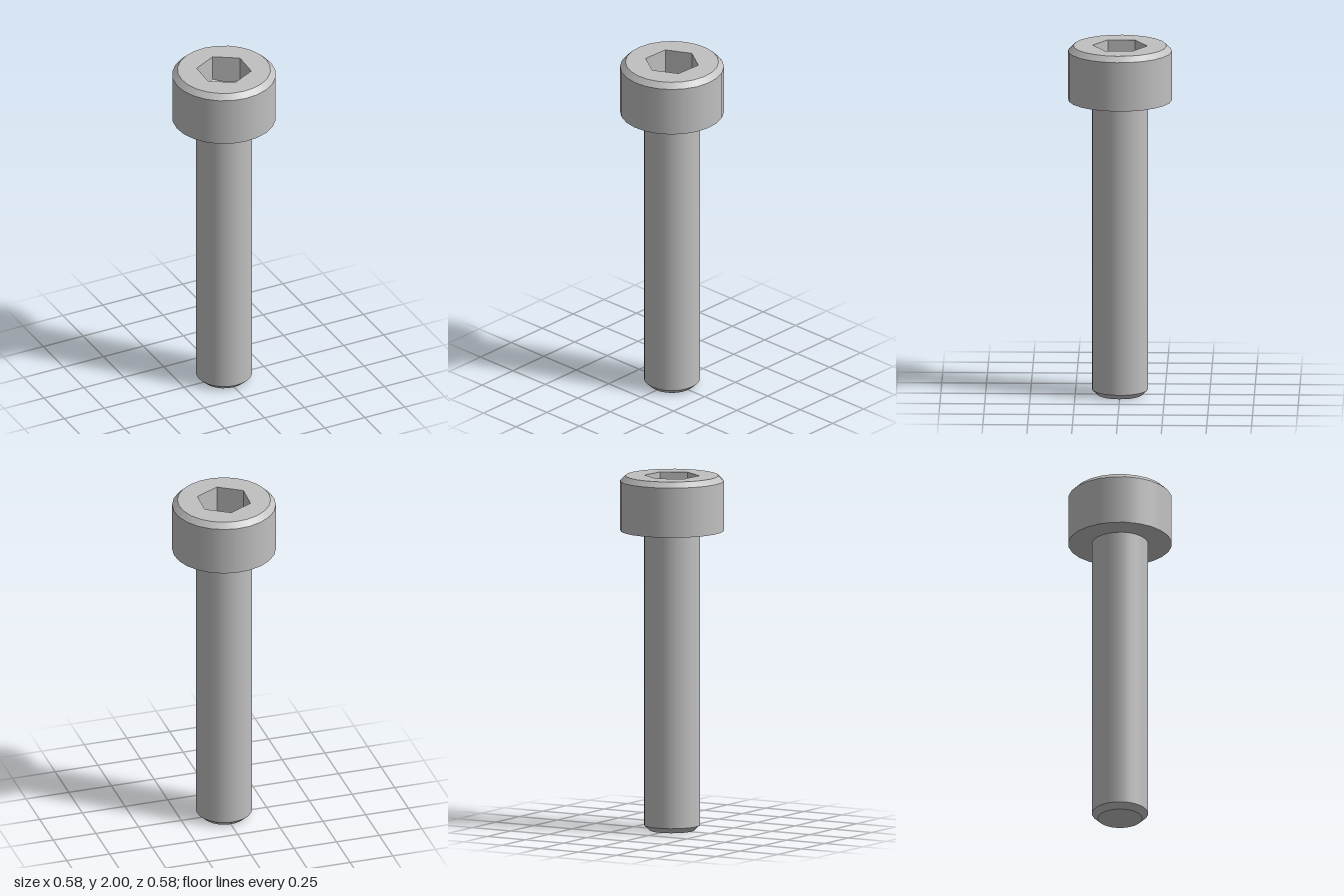
import * as THREE from 'three';

const SIDES = 24;
const HEAD_R = 0.29, RIM_R = 0.26, SHAFT_R = 0.157, TIP_R = 0.125, HEX_R = 0.153;
const TOP = 2, HEAD_EDGE = 1.97, HEAD_BASE = 1.69, TIP_EDGE = 0.03;

export function createModel() {
  const model = new THREE.Group();
  model.name = 'socketHeadScrew';
  const steel = new THREE.MeshStandardMaterial({ color: 0xc0c0c0 });
  steel.name = 'steel grey';

  const add = (name, geometry, y = 0) => {
    const mesh = new THREE.Mesh(geometry, steel);
    mesh.name = name;
    mesh.position.y = y;
    model.add(mesh);
  };
  // Open band between two heights; separate bands keep the edges sharp
  const band = (name, rTop, rBottom, yTop, yBottom) =>
    add(name, new THREE.CylinderGeometry(rTop, rBottom, yTop - yBottom, SIDES, 1, true), (yTop + yBottom) / 2);

  band('headChamfer', RIM_R, HEAD_R, TOP, HEAD_EDGE);
  band('headSide', HEAD_R, HEAD_R, HEAD_EDGE, HEAD_BASE);
  band('shaft', SHAFT_R, SHAFT_R, HEAD_BASE, TIP_EDGE);
  band('tipChamfer', SHAFT_R, TIP_R, TIP_EDGE, 0);
  add('headUnderside', new THREE.RingGeometry(SHAFT_R, HEAD_R, SIDES).rotateX(Math.PI / 2), HEAD_BASE);
  add('tipEnd', new THREE.CircleGeometry(TIP_R, SIDES).rotateX(Math.PI / 2));

  // Top face with the hexagonal opening
  const polygon = (r, n) => Array.from({ length: n }, (_, i) => {
    const a = (i / n) * Math.PI * 2;
    return new THREE.Vector2(r * Math.sin(a), -r * Math.cos(a));
  });
  const face = new THREE.Shape(polygon(RIM_R, SIDES));
  face.holes.push(new THREE.Path(polygon(HEX_R, 6)));
  add('headTop', new THREE.ShapeGeometry(face).rotateX(-Math.PI / 2), TOP);

  // Hexagonal recess: flat walls ending on a conical drilled floor
  const slope = 0.55, apexY = 1.77, steps = 6;
  const wallPos = [], floorPos = [], floorNormal = [];
  const corner = (i) => new THREE.Vector3(HEX_R * Math.sin(i * Math.PI / 3), 0, HEX_R * Math.cos(i * Math.PI / 3));
  const at = (p, y) => [p.x, y, p.z];
  const floorY = (p) => apexY + slope * Math.hypot(p.x, p.z);
  const coneNormal = (p) => new THREE.Vector3(p.x, 0, p.z).normalize().multiplyScalar(-slope).setY(1).normalize();
  for (let i = 0; i < 6; i++) {
    for (let j = 0; j < steps; j++) {
      const a = corner(i).lerp(corner(i + 1), j / steps);
      const b = corner(i).lerp(corner(i + 1), (j + 1) / steps);
      const aLow = at(a, floorY(a)), bLow = at(b, floorY(b));
      wallPos.push(...at(a, TOP), ...bLow, ...aLow, ...at(a, TOP), ...at(b, TOP), ...bLow);
      floorPos.push(0, apexY, 0, ...aLow, ...bLow);
      const middle = a.clone().add(b);
      for (const p of [middle, a, b]) floorNormal.push(...coneNormal(p).toArray());
    }
  }
  const walls = new THREE.BufferGeometry();
  walls.setAttribute('position', new THREE.Float32BufferAttribute(wallPos, 3));
  walls.computeVertexNormals();
  add('socketWalls', walls);
  const floor = new THREE.BufferGeometry();
  floor.setAttribute('position', new THREE.Float32BufferAttribute(floorPos, 3));
  floor.setAttribute('normal', new THREE.Float32BufferAttribute(floorNormal, 3));
  add('socketFloor', floor);

  // Slight turn of the whole screw about its axis
  model.rotation.y = -0.045;
  return model;
}
